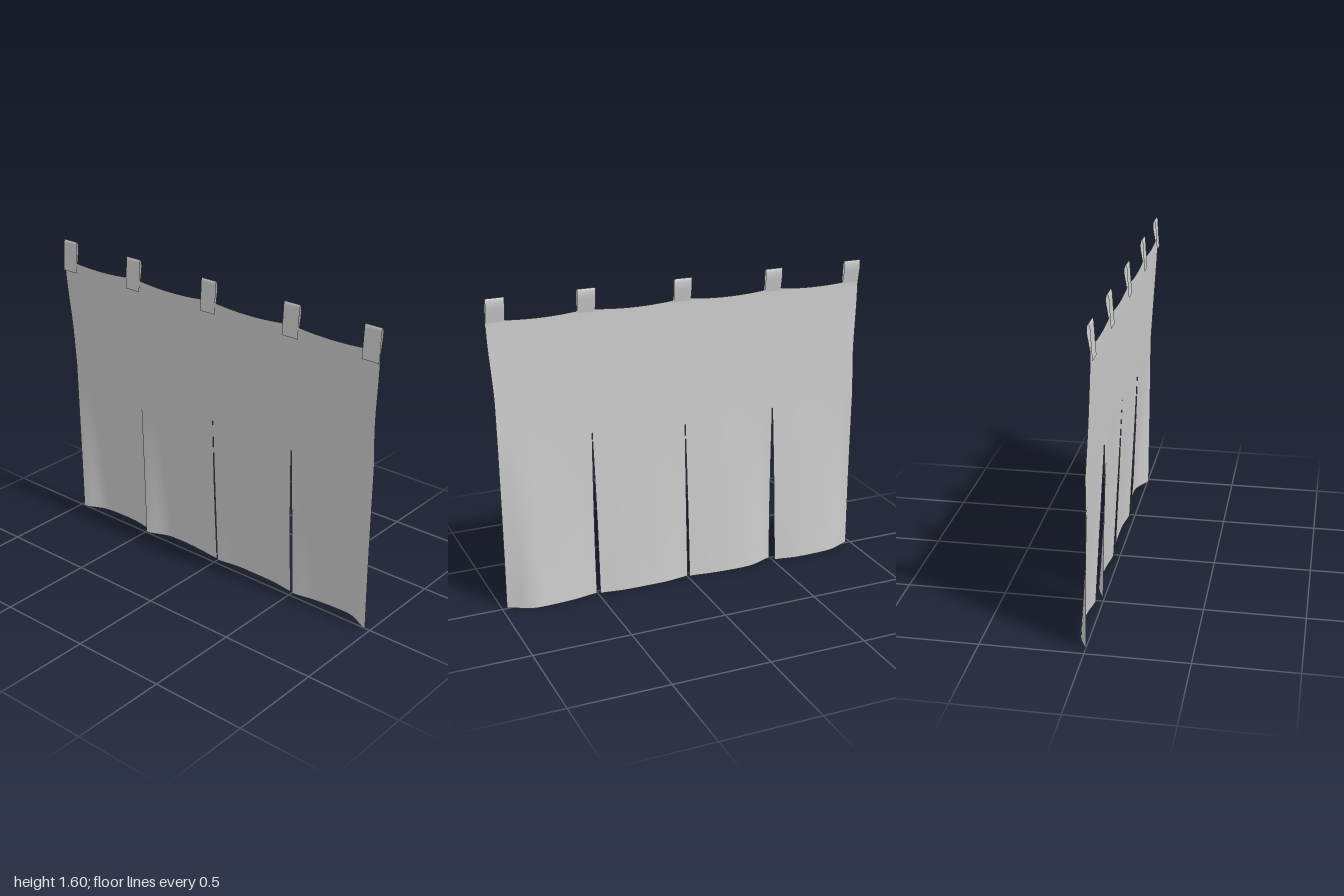
import * as THREE from 'three';
import { mergeGeometries, mergeVertices } from 'three/addons/utils/BufferGeometryUtils.js';

const SLIT_TOP = 0.885;
const COLS = 20, LOW_ROWS = 14, HIGH_ROWS = 12;

// Smooth curve through evenly spaced values
function curveThrough(values) {
  const c = new THREE.SplineCurve(values.map((v, i) => new THREE.Vector2(i, v)));
  return u => c.getPoint(u).y;
}

// Depth of the hem across each panel: the panel edges curl forward
const hems = [
  [0.005, -0.043, -0.054, -0.053, -0.036],
  [-0.002, -0.047, -0.054, -0.047, -0.034],
  [-0.028, -0.045, -0.047, -0.045, -0.03],
  [-0.022, -0.043, -0.053, -0.05, 0.005],
].map(curveThrough);

// Edges of the panels at the hem and at the head of the cloth
const hemEdges = [[-0.975, -0.51], [-0.494, -0.01], [-0.002, 0.488], [0.504, 0.975]];
const headEdges = [-0.98, -0.5, -0.003, 0.497, 0.98];

// Main slope of the hanging cloth
function slopeZ(y) {
  return 0.042 - 0.092 * Math.pow(Math.max(0, 1 - y / 1.45), 1.15);
}

function clothPanel(k) {
  const rows = LOW_ROWS + HIGH_ROWS;
  const g = new THREE.PlaneGeometry(1, 1, COLS, rows);
  const p = g.attributes.position;
  for (let i = 0; i < p.count; i++) {
    const u = (i % (COLS + 1)) / COLS;
    const r = rows - Math.floor(i / (COLS + 1));
    const headY = 1.475 + 0.017 * (2 * u - 1) ** 2;
    const y = r <= LOW_ROWS
      ? SLIT_TOP * r / LOW_ROWS
      : THREE.MathUtils.lerp(SLIT_TOP, headY, (r - LOW_ROWS) / HIGH_ROWS);
    // Slits open quickly below their top, then stay narrow
    const open = Math.sin(Math.min(1, Math.max(0, 1 - y / SLIT_TOP) * 1.25) * Math.PI / 2);
    const flare = 0.02 * THREE.MathUtils.smoothstep(y, 1.05, 1.47);
    const edge = s => {
      const head = headEdges[k + s];
      const outer = Math.abs(head) > 0.9 ? Math.sign(head) * flare : 0;
      return THREE.MathUtils.lerp(head, hemEdges[k][s], open) + outer;
    };
    const x = THREE.MathUtils.lerp(edge(0), edge(1), u);
    const curl = (hems[k](u) + 0.05) * Math.max(0, 1 - y / SLIT_TOP);
    p.setXYZ(i, x, y, slopeZ(y) + curl);
  }
  g.deleteAttribute('normal');
  g.deleteAttribute('uv');
  return g;
}

// Fabric loop: a strip folded over the top, sewn on front and back
function tabGeometry(width) {
  const path = new THREE.CatmullRomCurve3([
    [1.43, 0.051], [1.5, 0.046], [1.56, 0.042], [1.588, 0.039], [1.595, 0.034],
    [1.588, 0.029], [1.56, 0.027], [1.52, 0.033], [1.475, 0.041],
  ].map(([y, z]) => new THREE.Vector3(0, y, z)));
  const n = 28;
  const g = new THREE.PlaneGeometry(width, 1, 1, n);
  const p = g.attributes.position;
  for (let i = 0; i < p.count; i++) {
    const q = path.getPoint(1 - Math.floor(i / 2) / n);
    p.setXYZ(i, p.getX(i), q.y, q.z);
  }
  g.computeVertexNormals();
  return g;
}

export function createModel() {
  const group = new THREE.Group();
  group.name = 'splitCurtain';
  const material = new THREE.MeshStandardMaterial({ color: 0xcccccc, side: THREE.DoubleSide });

  // Cloth: four panels welded together above the slits
  const cloth = mergeVertices(mergeGeometries([0, 1, 2, 3].map(clothPanel)), 1e-5);
  cloth.computeVertexNormals();
  const sheet = new THREE.Mesh(cloth, material);
  sheet.name = 'cloth';
  group.add(sheet);

  // Hanging loops
  const tab = tabGeometry(0.093);
  [-0.9535, -0.502, -0.002, 0.502, 0.9535].forEach((x, i) => {
    const m = new THREE.Mesh(tab, material);
    m.position.x = x;
    m.name = `hangingLoop${i + 1}`;
    group.add(m);
  });
  return group;
}
